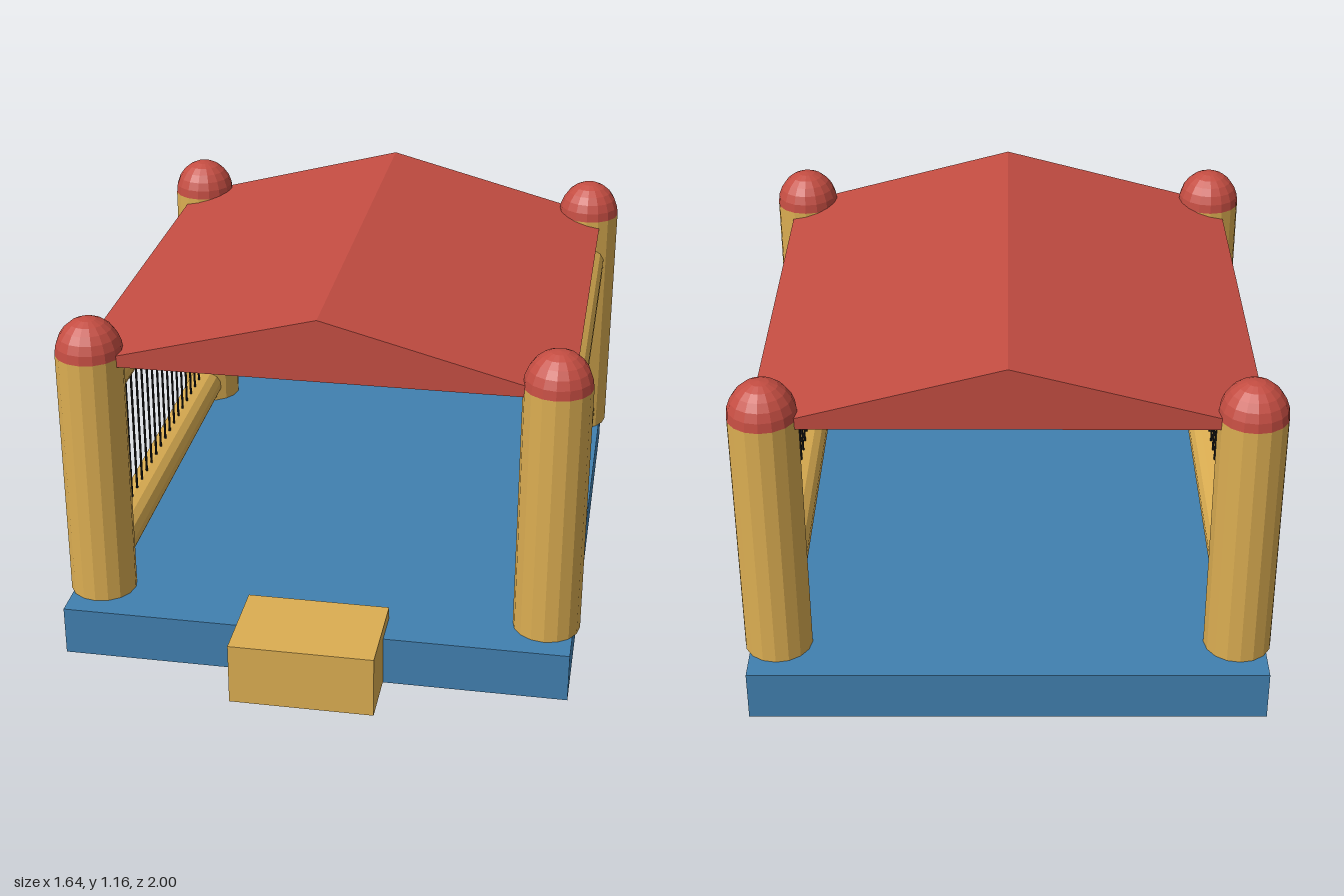
import * as THREE from 'three';

const mat = (name, color, opts = {}) => {
  const m = new THREE.MeshStandardMaterial({ color, ...opts });
  m.name = name;
  return m;
};

export function createModel() {
  const model = new THREE.Group();
  model.name = 'bouncyCastle';

  const yellow = mat('yellow', 0xdcae52, { flatShading: true });
  const red = mat('red', 0xc44d42, { flatShading: true, side: THREE.DoubleSide });
  const blue = mat('blue', 0x4180b0, { flatShading: true });
  const black = mat('black', 0x1c1c1c, { flatShading: true });

  const add = (name, geometry, material, x = 0, y = 0, z = 0) => {
    const mesh = new THREE.Mesh(geometry, material);
    mesh.name = name;
    mesh.position.set(x, y, z);
    model.add(mesh);
    return mesh;
  };

  // Floor cushion and entrance step
  add('base', new THREE.BoxGeometry(1.6, 0.16, 1.82), blue, 0, 0.08, -0.09);
  add('step', new THREE.BoxGeometry(0.45, 0.2, 0.3), yellow, 0, 0.1, 0.85);

  const midZ = -0.09;
  const pillarX = 0.715;
  const pillarZ = 0.74;
  const pillarGeo = new THREE.CylinderGeometry(0.105, 0.105, 0.825, 16);
  const domeGeo = new THREE.SphereGeometry(0.105, 16, 6, 0, Math.PI * 2, 0, Math.PI / 2).scale(1, 1.1, 1);
  const railGeo = new THREE.CylinderGeometry(0.063, 0.063, 2 * pillarZ, 14).rotateX(Math.PI / 2);
  const barGeo = new THREE.CylinderGeometry(0.004, 0.004, 0.6, 6);

  for (const side of [-1, 1]) {
    // Corner pillars with dome caps
    for (const end of [-1, 1]) {
      const z = midZ + end * pillarZ;
      add('pillar', pillarGeo, yellow, side * pillarX, 0.5725, z);
      add('pillarDome', domeGeo, red, side * pillarX, 0.985, z);
    }
    // Side wall: two inflated rails joined by thin upright bars
    add('lowerRail', railGeo, yellow, side * 0.72, 0.22, midZ);
    add('upperRail', railGeo, yellow, side * 0.72, 0.822, midZ);
    for (let i = 0; i < 21; i++) {
      add('netBar', barGeo, black, side * 0.72, 0.52, midZ + (i - 10) * 0.0623);
    }
  }

  // Gable roof shell, open underneath
  const w = 0.76, eave = 0.96, ridge = 1.16, front = 0.69, back = -0.87;
  const section = (z) => [[-w, eave, z], [0, ridge, z], [w, eave, z]];
  const corners = [...section(front), ...section(back)];
  const roof = new THREE.BufferGeometry();
  roof.setAttribute('position', new THREE.Float32BufferAttribute(corners.flat(), 3));
  roof.setIndex([
    0, 2, 1, 3, 4, 5, // gable ends
    0, 1, 4, 0, 4, 3, // right slope
    1, 2, 5, 1, 5, 4, // left slope
  ]);
  const roofFlat = roof.toNonIndexed();
  roofFlat.computeVertexNormals();
  add('roof', roofFlat, red);

  return model;
}
